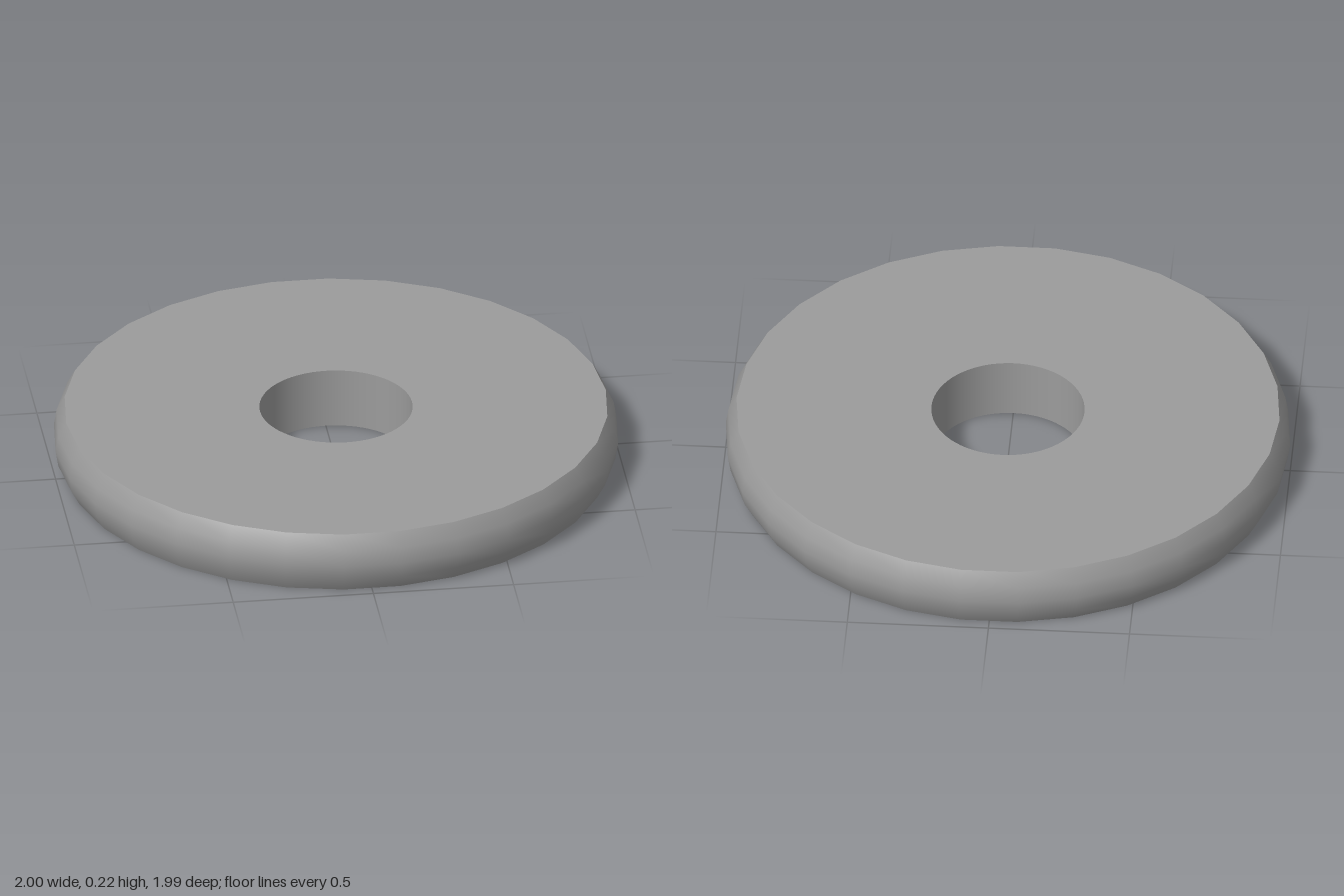
import * as THREE from 'three';

const HEIGHT = 0.22, RIM_R = 0.962, OUTER_R = 1, HOLE_R = 0.271;
const RIM_SIDES = 30, HOLE_SIDES = 64;

// Points of a regular polygon with a corner on +x
function ring(radius, sides) {
  return Array.from({ length: sides }, (_, i) => {
    const a = (i / sides) * Math.PI * 2;
    return new THREE.Vector2(radius * Math.cos(a), radius * Math.sin(a));
  });
}

export function createModel() {
  const group = new THREE.Group();
  group.name = 'disc';
  const material = new THREE.MeshStandardMaterial({ color: 0x9b9b9b });
  const add = (name, geometry) => {
    const mesh = new THREE.Mesh(geometry, material);
    mesh.name = name;
    group.add(mesh);
    return mesh;
  };

  // Bulging outer rim: a shallow arc swept round the axis
  const half = HEIGHT / 2, sag = OUTER_R - RIM_R;
  const arcR = (half * half + sag * sag) / (2 * sag);
  const spread = Math.asin(half / arcR), steps = 4;
  const profile = [];
  for (let i = 0; i <= steps; i++) {
    const a = spread * ((2 * i) / steps - 1);
    profile.push(new THREE.Vector2(OUTER_R - arcR + arcR * Math.cos(a), half + arcR * Math.sin(a)));
  }
  add('outerRim', new THREE.LatheGeometry(profile, RIM_SIDES, Math.PI / 2));

  // Bore wall, facing the axis
  const bore = [new THREE.Vector2(HOLE_R, HEIGHT), new THREE.Vector2(HOLE_R, 0)];
  add('boreWall', new THREE.LatheGeometry(bore, HOLE_SIDES, Math.PI / 2));

  // Flat faces with the round hole
  const face = new THREE.Shape(ring(RIM_R, RIM_SIDES));
  face.holes.push(new THREE.Path(ring(HOLE_R, HOLE_SIDES)));
  const top = add('topFace', new THREE.ShapeGeometry(face));
  top.rotation.x = -Math.PI / 2;
  top.position.y = HEIGHT;
  const bottom = add('bottomFace', new THREE.ShapeGeometry(face));
  bottom.rotation.x = Math.PI / 2;

  return group;
}
